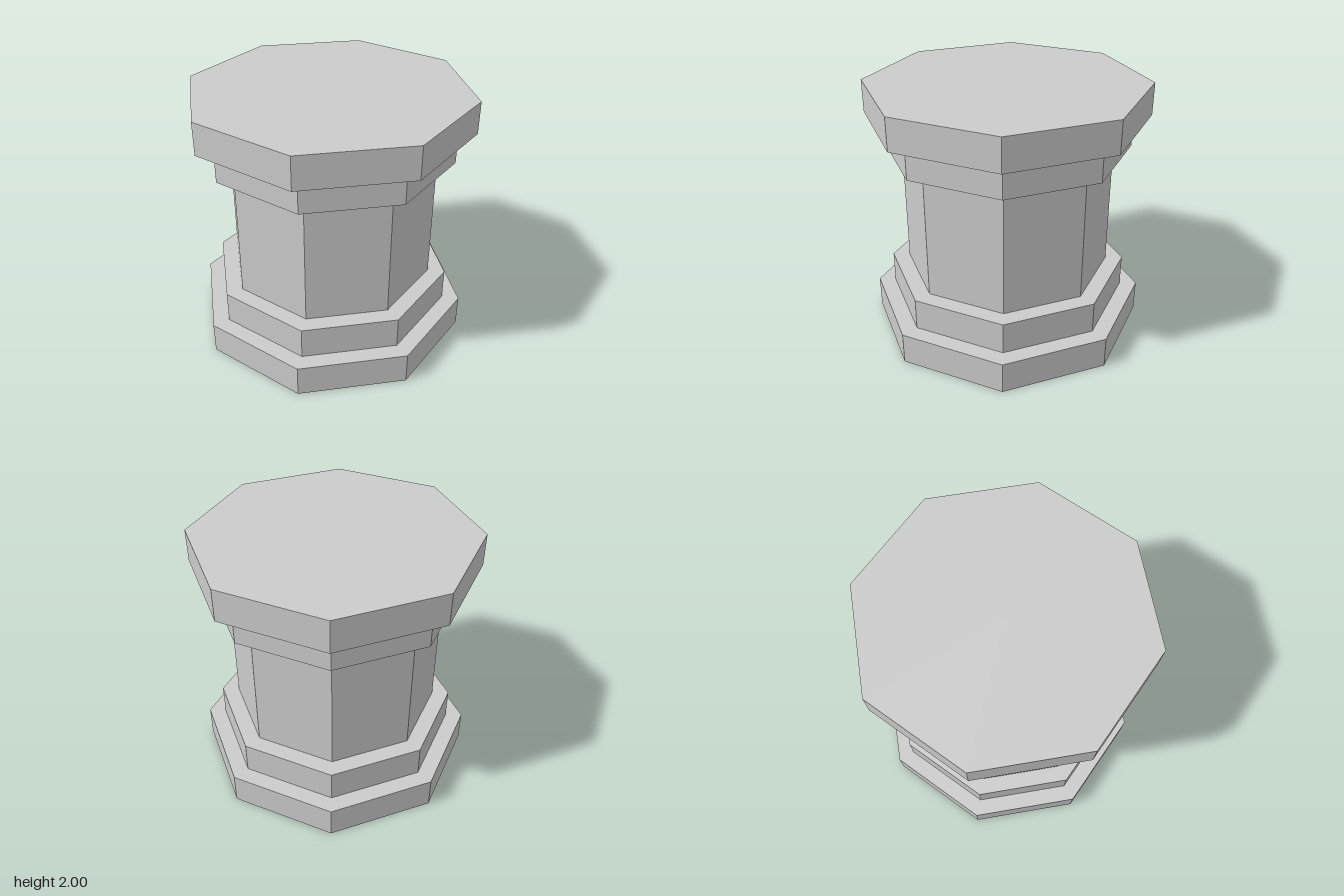
import * as THREE from 'three';

const SIDES = 8;

// Octagonal drum with flat faces towards the axes; apothem is half its width
function drum(name, apothem, bottom, top, material) {
  const radius = apothem / Math.cos(Math.PI / SIDES);
  const geometry = new THREE.CylinderGeometry(radius, radius, top - bottom, SIDES);
  geometry.rotateY(Math.PI / SIDES);
  const mesh = new THREE.Mesh(geometry, material);
  mesh.name = name;
  mesh.position.y = (bottom + top) / 2;
  return mesh;
}

export function createModel() {
  const group = new THREE.Group();
  group.name = 'pedestal';
  const material = new THREE.MeshStandardMaterial({ color: 0xcccccc, flatShading: true });

  // Name, half width, bottom, top: a plain shaft between stepped ends
  const tiers = [
    ['basePlinth', 1, 0, 0.25],
    ['baseStep', 0.875, 0.25, 0.5],
    ['shaft', 0.75, 0.5, 1.5],
    ['capitalStep', 0.875, 1.5, 1.75],
    ['topSlab', 1, 1.75, 2],
  ];
  for (const [name, apothem, bottom, top] of tiers) {
    group.add(drum(name, apothem, bottom, top, material));
  }
  return group;
}
